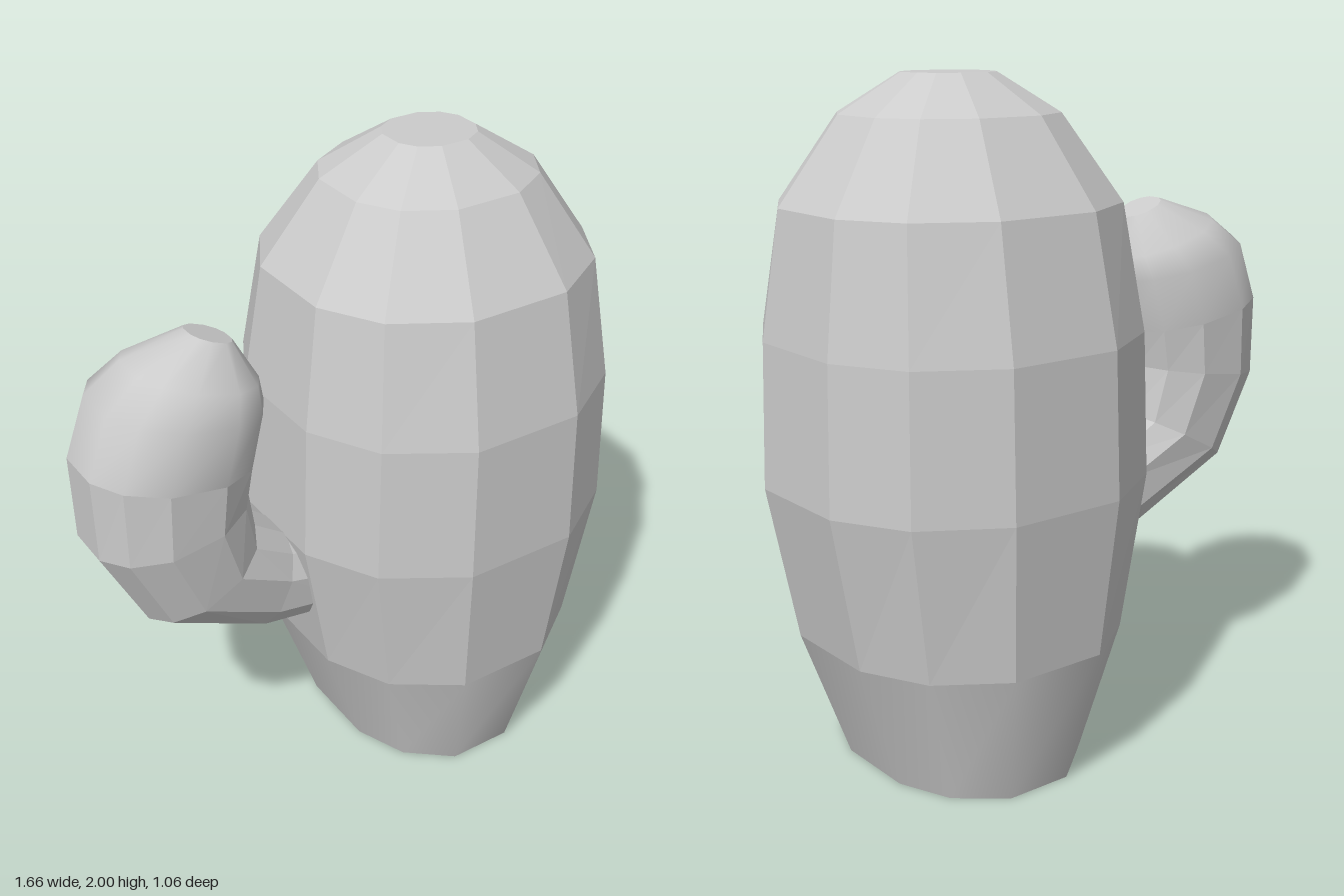
import * as THREE from 'three';

// Twelve-sided unit outline, as (across, depth) factors
const QUARTER = [[1, 0.33], [0.78, 0.73], [0.34, 1]];
const flipX = QUARTER.map(([a, b]) => [-a, b]).reverse();
const half = [...QUARTER, ...flipX];
const OUTLINE = [...half, ...half.map(([a, b]) => [-a, -b])];
const N = OUTLINE.length;

// A ring runs from an outer point to an inner point in the xy plane, with a half depth in z
function ringPoints([ox, oy, ix, iy, depth]) {
  return OUTLINE.map(([a, b]) => [
    (ox + ix) / 2 + (a * (ix - ox)) / 2,
    (oy + iy) / 2 + (a * (iy - oy)) / 2,
    b * depth,
  ]);
}

function makeMesh(name, positions, index, flat) {
  let geometry = new THREE.BufferGeometry();
  geometry.setAttribute('position', new THREE.Float32BufferAttribute(positions.flat(), 3));
  geometry.setIndex(index);
  if (flat) geometry = geometry.toNonIndexed();
  geometry.computeVertexNormals();
  const mesh = new THREE.Mesh(geometry, new THREE.MeshStandardMaterial({ color: 0xcccccc, flatShading: flat }));
  mesh.name = name;
  return mesh;
}

// Skin of quads between successive rings
function loft(name, rings, flat) {
  const index = [];
  for (let r = 0; r < rings.length - 1; r++) {
    for (let i = 0; i < N; i++) {
      const j = (i + 1) % N;
      const b0 = r * N + i, b1 = r * N + j;
      index.push(b1, b0, b0 + N, b1, b0 + N, b1 + N);
    }
  }
  return makeMesh(name, rings.flatMap(ringPoints), index, flat);
}

// Flat lid over one ring
function cap(name, ring, up) {
  const index = [];
  for (let i = 1; i < N - 1; i++) index.push(0, ...(up ? [i + 1, i] : [i, i + 1]));
  return makeMesh(name, ringPoints(ring), index, true);
}

export function createModel() {
  const model = new THREE.Group();
  model.name = 'cactus';

  // Trunk: height, half width, half depth
  const trunkX = 0.3;
  const trunkRings = [
    [0, 0.3, 0.4],
    [0.4, 0.44, 0.487],
    [0.86, 0.527, 0.528],
    [1.28, 0.515, 0.515],
    [1.645, 0.465, 0.442],
    [1.89, 0.302, 0.28],
    [2, 0.13, 0.12],
  ].map(([y, w, d]) => [trunkX - w, y, trunkX + w, y, d]);

  const trunk = new THREE.Group();
  trunk.name = 'trunk';
  trunk.add(
    loft('trunkBase', trunkRings.slice(0, 2), false),
    loft('trunkBody', trunkRings.slice(1), true),
    cap('trunkBottom', trunkRings[0], false),
    cap('trunkTop', trunkRings[6], true),
  );

  // Arm: bends out of the trunk and curls upward
  const armRings = [
    [-0.1, 0.53, -0.04, 0.79, 0.14],
    [-0.35, 0.575, -0.22, 0.86, 0.16],
    [-0.69, 0.75, -0.33, 0.94, 0.195],
    [-0.825, 1.02, -0.355, 1.09, 0.215],
    [-0.83, 1.28, -0.33, 1.2, 0.218],
    [-0.765, 1.46, -0.29, 1.36, 0.21],
    [-0.66, 1.54, -0.295, 1.43, 0.165],
    [-0.48, 1.6, -0.355, 1.55, 0.062],
  ];
  const arm = new THREE.Group();
  arm.name = 'arm';
  arm.add(
    loft('armBend', armRings.slice(0, 5), true),
    loft('armTip', armRings.slice(4), false),
    cap('armRoot', armRings[0], false),
    cap('armTop', armRings[7], true),
  );

  model.add(trunk, arm);
  return model;
}
